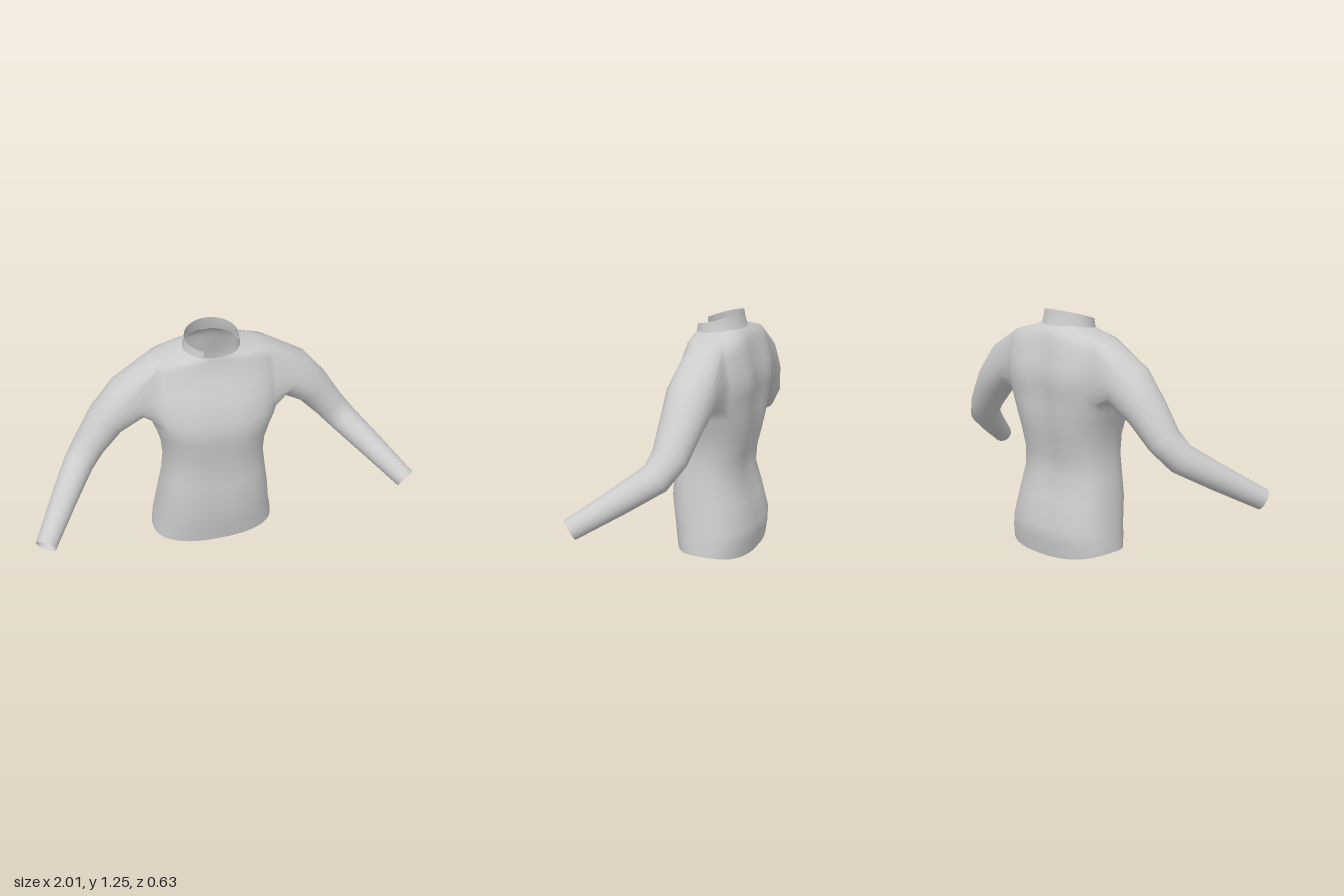
import * as THREE from 'three';

const SEG = 44;         // points around the torso
const HALF = 4;         // half width of a sleeve opening, in segments
const ROW0 = 9, ROW1 = 15; // rows spanned by the sleeve openings

// Torso rows: height, half width, front z, back z, depth of spine groove
const ROWS = [
  [0.045, 0.33, 0.09, -0.30, 0],
  [0.10, 0.325, 0.10, -0.312, 0],
  [0.16, 0.313, 0.112, -0.318, 0],
  [0.30, 0.295, 0.13, -0.285, 0.01],
  [0.42, 0.277, 0.122, -0.25, 0.012],
  [0.52, 0.265, 0.122, -0.26, 0.015],
  [0.62, 0.272, 0.132, -0.285, 0.02],
  [0.71, 0.298, 0.146, -0.302, 0.025],
  [0.77, 0.322, 0.149, -0.305, 0.028],
  [0.82, 0.34, 0.14, -0.308, 0.03],
  [0.87, 0.35, 0.128, -0.314, 0.03],
  [0.93, 0.358, 0.108, -0.32, 0.03],
  [0.99, 0.358, 0.078, -0.307, 0.026],
  [1.04, 0.355, 0.055, -0.291, 0.022],
  [1.085, 0.348, 0.038, -0.277, 0.016],
  [1.12, 0.325, 0.028, -0.262, 0.01],
  [1.14, 0.255, 0.024, -0.245, 0],
  [1.155, 0.19, 0.022, -0.228, 0],
  [1.17, 0.14, 0.02, -0.208, 0],
];

// Sleeve rings: centre x, y, z, radius across the top, radius in depth
const SLEEVE = [
  [0.43, 0.915, -0.11, 0.13, 0.124],
  [0.55, 0.81, -0.108, 0.1, 0.107],
  [0.65, 0.68, -0.092, 0.082, 0.09],
  [0.72, 0.598, -0.05, 0.076, 0.08],
  [0.83, 0.498, 0.095, 0.066, 0.067],
  [0.962, 0.378, 0.28, 0.053, 0.053],
];

const soft = (v, p) => Math.sign(v) * Math.abs(v) ** p;

function torsoPoint(row, i) {
  const [y, hw, front, back, groove] = ROWS[row];
  const a = (i / SEG) * Math.PI * 2;
  const x = hw * soft(Math.cos(a), 0.82);
  const s = soft(Math.sin(a), 0.82);
  let z = (front + back) / 2 + s * (front - back) / 2;
  const mid = Math.exp(-((x / 0.075) ** 2));
  if (s < 0) z += groove * mid;
  else z -= groove * 0.25 * mid;
  // dropped tail at the back hem, neckline tilted forward
  let dy = 0;
  if (row < 2) dy = (s < 0 ? -0.04 * s * s : -0.008 * s) * (1 - row * 0.6);
  if (row > 15) dy = -0.005 * (row - 15) * s;
  return [x, y + dy, z];
}

function buildShirt() {
  const pos = [], index = [];
  const add = (p) => pos.push(...p) / 3 - 1;
  const quad = (a, b, c, d) => index.push(a, d, c, a, c, b);
  const bridge = (lo, hi) => lo.forEach((v, k) => {
    const n = (k + 1) % lo.length;
    quad(v, lo[n], hi[n], hi[k]);
  });
  const wrap = (i) => (i + SEG) % SEG;

  // torso, leaving an opening on each side for the sleeves
  const grid = ROWS.map((_, r) => Array.from({ length: SEG }, (_, i) => add(torsoPoint(r, i))));
  const open = (r, i) => r >= ROW0 && r < ROW1 &&
    [0, SEG / 2].some((c) => wrap(i - c + HALF) < HALF * 2);
  for (let r = 0; r < ROWS.length - 1; r++) {
    for (let i = 0; i < SEG; i++) {
      if (!open(r, i)) quad(grid[r][i], grid[r][wrap(i + 1)], grid[r + 1][wrap(i + 1)], grid[r + 1][i]);
    }
  }

  // sleeves grow from the edge of each opening
  for (const side of [1, -1]) {
    const c = side > 0 ? 0 : SEG / 2;
    let ring = [];
    for (let i = -HALF; i < HALF; i++) ring.push(grid[ROW0][wrap(c + i)]);
    for (let r = ROW0; r < ROW1; r++) ring.push(grid[r][wrap(c + HALF)]);
    for (let i = HALF; i > -HALF; i--) ring.push(grid[ROW1][wrap(c + i)]);
    for (let r = ROW1; r > ROW0; r--) ring.push(grid[r][wrap(c - HALF)]);
    const n = ring.length;
    const centres = [[0.33, 0.97, -0.11], ...SLEEVE].map((p) => new THREE.Vector3(p[0], p[1], p[2]));

    SLEEVE.forEach(([, , , up, depth], j) => {
      const centre = centres[j + 1];
      const next = centres[Math.min(j + 2, centres.length - 1)];
      const along = next.clone().sub(centres[j]).normalize();
      const D = new THREE.Vector3(0, 0, 1).addScaledVector(along, -along.z).normalize();
      const U = D.clone().cross(along);
      const hi = ring.map((_, k) => {
        const a = -Math.PI / 2 + ((k - HALF) / n) * Math.PI * 2;
        const p = centre.clone()
          .addScaledVector(D, side * depth * Math.cos(a))
          .addScaledVector(U, up * Math.sin(a));
        return add([side * p.x, p.y, p.z]);
      });
      bridge(ring, hi);
      ring = hi;
    });
  }
  return toGeometry(pos, index);
}

// Stand-up band around the neck with a gap at the front
function buildCollar() {
  const pos = [], index = [], n = 32, gap = 0.5;
  for (let i = 0; i <= n; i++) {
    const a = Math.PI / 2 + gap + (i / n) * (Math.PI * 2 - gap * 2);
    const c = Math.cos(a), s = Math.sin(a);
    pos.push(0.15 * c, 1.158 - 0.02 * s, -0.095 + 0.126 * s);
    pos.push(0.142 * c, 1.19 - 0.025 * s, -0.092 + 0.117 * s);
    pos.push(0.138 * c, 1.222 - 0.033 * s, -0.09 + 0.112 * s);
    if (i === n) break;
    for (let r = 0; r < 2; r++) {
      const k = i * 3 + r;
      index.push(k, k + 1, k + 4, k, k + 4, k + 3);
    }
  }
  return toGeometry(pos, index);
}

function toGeometry(pos, index) {
  const g = new THREE.BufferGeometry();
  g.setAttribute('position', new THREE.Float32BufferAttribute(pos, 3));
  g.setIndex(index);
  g.computeVertexNormals();
  return g;
}

export function createModel() {
  const group = new THREE.Group();
  group.name = 'longSleevedShirt';
  const cloth = new THREE.MeshStandardMaterial({ color: 0xcccccc, side: THREE.DoubleSide });
  const part = (name, geometry) => {
    const mesh = new THREE.Mesh(geometry, cloth);
    mesh.name = name;
    group.add(mesh);
  };
  part('bodyAndSleeves', buildShirt());
  part('collar', buildCollar());
  return group;
}
